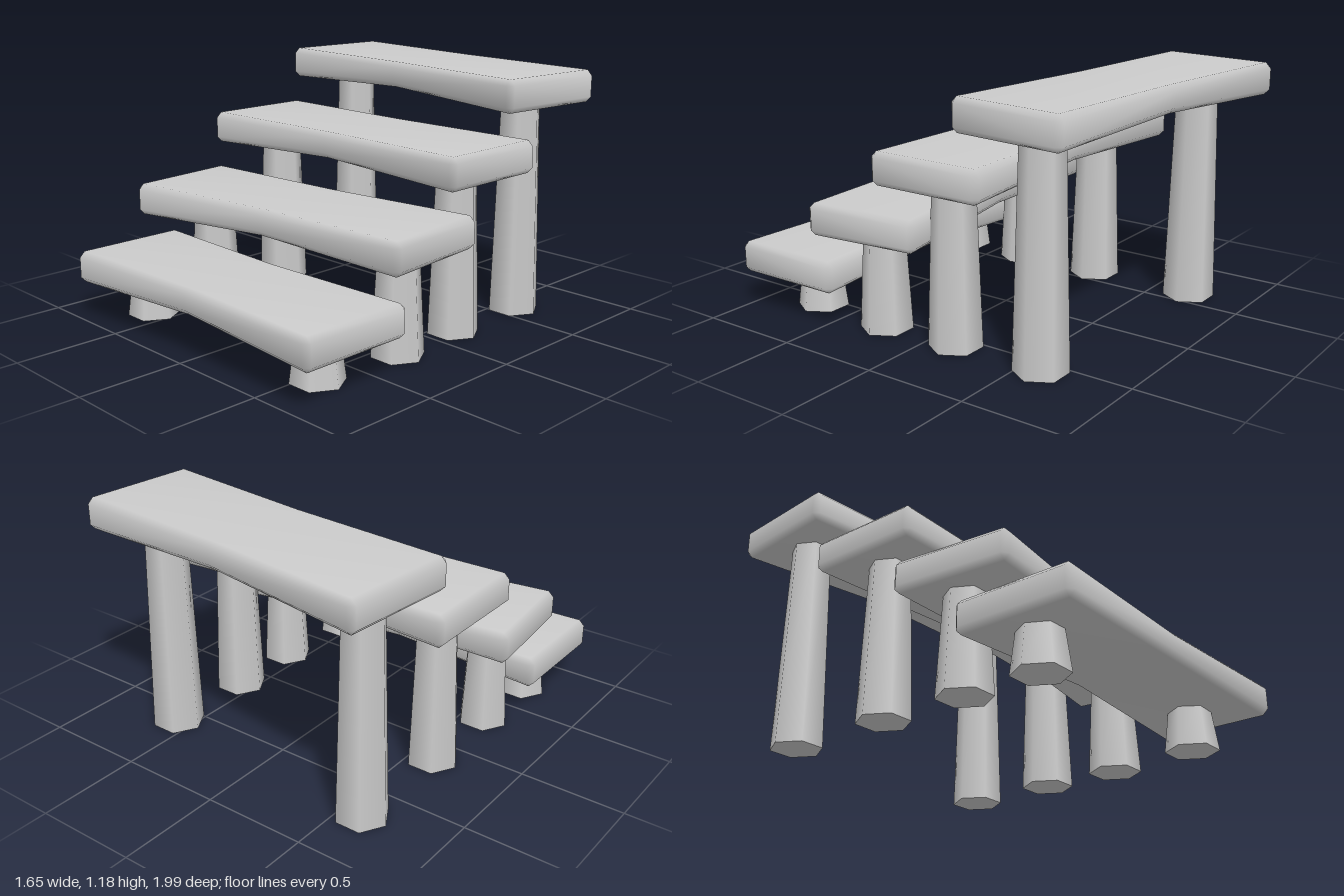
import * as THREE from 'three';
import { mergeVertices } from 'three/addons/utils/BufferGeometryUtils.js';

const material = new THREE.MeshStandardMaterial({ color: 0xcccccc, side: THREE.DoubleSide });

const HALF_W = 0.805, HALF_H = 0.0765, HALF_D = 0.29, BEVEL = 0.027;

// Chamfered plank lofted from five octagonal sections; the middle one is pinched and hollowed below
function slabGeometry(pinch) {
  const section = (x, inset, squeeze, lift) => {
    const y1 = HALF_H - inset, y0 = HALF_H - BEVEL;
    const z1 = HALF_D - squeeze - inset, z0 = HALF_D - squeeze - BEVEL;
    const ring = [[y1, z0], [y0, z1], [-y0, z1], [-y1, z0], [-y1, -z0], [-y0, -z1], [y0, -z1], [y1, -z0]];
    return ring.map(([y, z]) => [x, y < 0 ? y + lift : y, z]);
  };
  const rings = [
    section(-HALF_W, BEVEL, 0, 0),
    section(-HALF_W + BEVEL, 0, 0, 0),
    section(0, 0, pinch, 0.028),
    section(HALF_W - BEVEL, 0, 0, 0),
    section(HALF_W, BEVEL, 0, 0),
  ];
  const index = [];
  for (let r = 0; r < 4; r++) {
    for (let i = 0; i < 8; i++) {
      const a = r * 8 + i, b = r * 8 + (i + 1) % 8;
      index.push(a, b, a + 8, b, b + 8, a + 8);
    }
  }
  // End caps: the end sections collapse to rectangles with corners 0, 2, 4, 6
  index.push(0, 4, 2, 0, 6, 4);
  index.push(32, 34, 36, 32, 36, 38);

  let geometry = new THREE.BufferGeometry();
  geometry.setAttribute('position', new THREE.Float32BufferAttribute(rings.flat(2), 3));
  geometry.setIndex(index);
  geometry = mergeVertices(geometry, 1e-5);
  geometry.computeVertexNormals();
  return geometry;
}

// Tapered six-sided post with corners pointing along x
function makeLeg(name, x, z, height) {
  const geometry = new THREE.CylinderGeometry(0.097, 0.125, height, 6);
  geometry.rotateY(Math.PI / 6);
  const leg = new THREE.Mesh(geometry, material);
  leg.name = name;
  leg.position.set(x, height / 2, z);
  return leg;
}

// Each step: slab centre, turn, and the x and z of its two legs
const STEPS = [
  { y: 0.257, z: 0.705, turn: 0, pinch: 0.028, left: [0.557, 0.703], right: [-0.605, 0.703] },
  { y: 0.537, z: 0.302, turn: 0.095, pinch: 0.024, left: [0.595, 0.255], right: [-0.605, 0.317] },
  { y: 0.825, z: -0.14, turn: 0, pinch: 0.02, left: [0.58, -0.14], right: [-0.605, -0.14] },
  { y: 1.107, z: -0.632, turn: -0.098, pinch: 0.02, left: [0.58, -0.6], right: [-0.603, -0.692] },
];

export function createModel() {
  const model = new THREE.Group();
  model.name = 'steps';
  STEPS.forEach((s, i) => {
    const step = new THREE.Group();
    step.name = `step${i + 1}`;
    const slab = new THREE.Mesh(slabGeometry(s.pinch), material);
    slab.name = 'slab';
    slab.position.set(0, s.y, s.z);
    slab.rotation.y = s.turn;
    // Posts run slightly into the slab
    const height = s.y - HALF_H + 0.03;
    step.add(slab, makeLeg('leftLeg', ...s.left, height), makeLeg('rightLeg', ...s.right, height));
    model.add(step);
  });
  return model;
}
